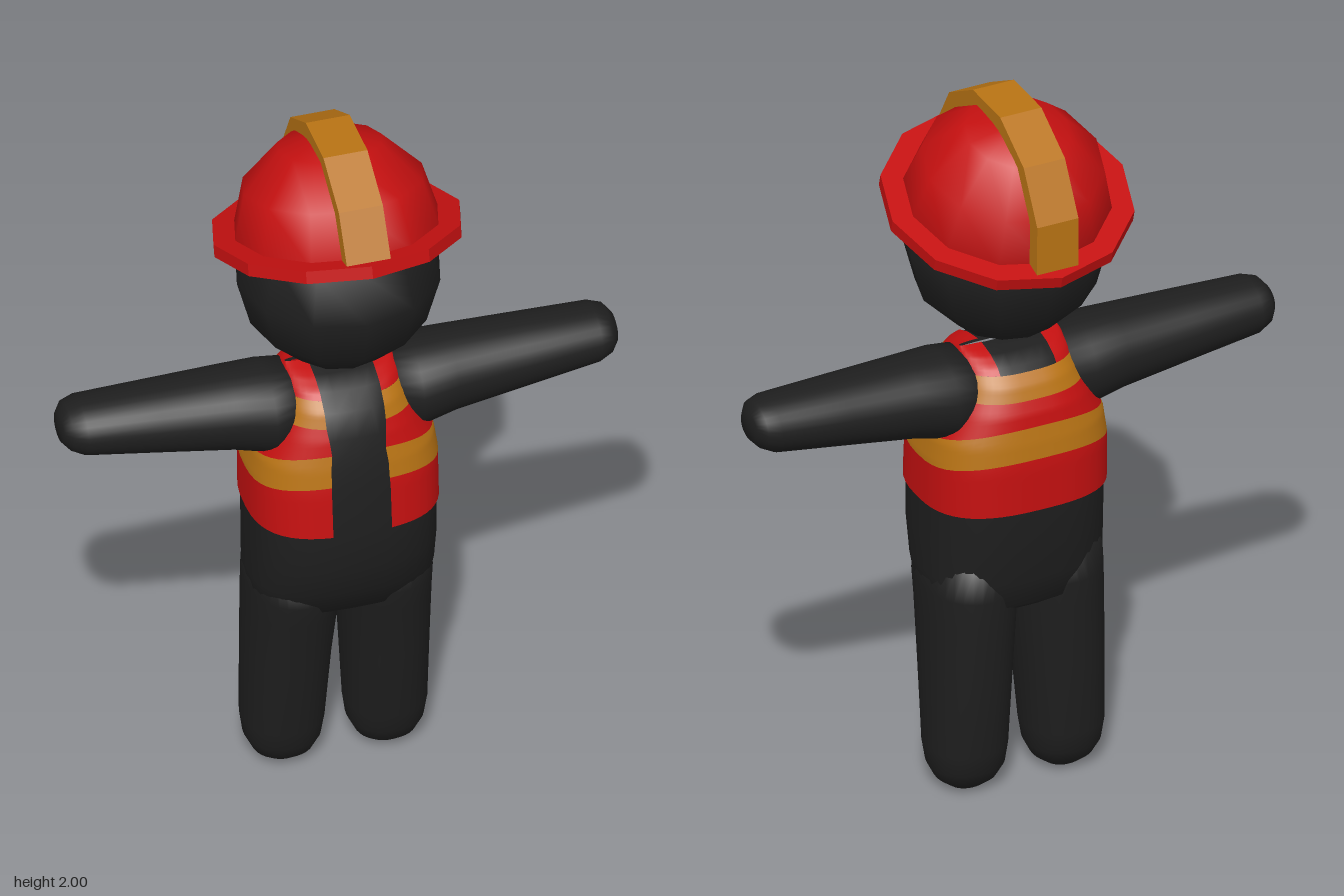
import * as THREE from 'three';
import { mergeVertices } from 'three/addons/utils/BufferGeometryUtils.js';

const material = (color, extra = {}) => new THREE.MeshStandardMaterial({ color, ...extra });
const black = material(0x1e1e1e);
const red = material(0xc41010, { side: THREE.DoubleSide });
const gold = material(0xb87314, { side: THREE.DoubleSide });
const redFlat = material(0xc41010, { flatShading: true });
const goldFlat = material(0xb87314, { flatShading: true });

function add(parent, name, geometry, mat) {
  const mesh = new THREE.Mesh(geometry, mat);
  mesh.name = name;
  parent.add(mesh);
  return mesh;
}

// Grid surface from point(u, v): v runs upward, u counter-clockwise seen from above
function grid(nu, nv, point) {
  const positions = [], index = [];
  for (let i = 0; i <= nv; i++) {
    for (let j = 0; j <= nu; j++) {
      positions.push(...point(j / nu, i / nv));
      if (i < nv && j < nu) {
        const a = i * (nu + 1) + j, b = a + nu + 1;
        index.push(a, a + 1, b + 1, a, b + 1, b);
      }
    }
  }
  let geometry = new THREE.BufferGeometry();
  geometry.setAttribute('position', new THREE.Float32BufferAttribute(positions, 3));
  geometry.setIndex(index);
  geometry = mergeVertices(geometry, 1e-5);
  geometry.computeVertexNormals();
  return geometry;
}

// Cross-section rows are [height, xMin, xMax, zBack, zFront]
function rowAt(rows, y) {
  let i = 0;
  while (i < rows.length - 2 && y > rows[i + 1][0]) i++;
  const t = THREE.MathUtils.clamp((y - rows[i][0]) / (rows[i + 1][0] - rows[i][0]), 0, 1);
  return rows[i].map((value, k) => THREE.MathUtils.lerp(value, rows[i + 1][k], t));
}

// Point on a rounded section; power below 1 makes it squarer
function ringPoint([y, x0, x1, z0, z1], angle, power, grow = 0) {
  const soft = (v) => Math.sign(v) * Math.abs(v) ** power;
  const s = soft(Math.sin(angle)), c = soft(Math.cos(angle));
  return [
    (x0 + x1) / 2 + ((x1 - x0) / 2 + grow) * s,
    y,
    (z0 + z1) / 2 + ((z1 - z0) / 2 + grow) * c,
  ];
}

function loft(rows, power = 1) {
  const last = rows.length - 1;
  return grid(32, last, (u, v) => ringPoint(rows[Math.round(v * last)], u * Math.PI * 2, power));
}

const POWER = 0.75;
const torsoRows = [
  [0.52, 0.0, -0.01, 0.0], [0.535, 0.2, -0.12, 0.1], [0.57, 0.245, -0.167, 0.155],
  [0.65, 0.25, -0.185, 0.195], [0.75, 0.25, -0.202, 0.23], [0.87, 0.25, -0.21, 0.233],
  [1.0, 0.25, -0.208, 0.22], [1.07, 0.24, -0.2, 0.208], [1.15, 0.2, -0.185, 0.19],
  [1.22, 0.165, -0.155, 0.163], [1.26, 0.15, -0.115, 0.12], [1.28, 0.14, -0.07, 0.065],
  [1.29, 0.135, -0.01, 0.0],
].map(([y, hx, zb, zf]) => [y, -hx, hx, zb, zf]);

// Vest band just outside the torso, open at the front, raised towards the middle
function vestBand(y0, y1, lift0, lift1, fromNeck = false, side = 1) {
  return grid(fromNeck ? 16 : 48, 8, (u, v) => {
    const base = THREE.MathUtils.lerp(y0, y1, v);
    const lift = THREE.MathUtils.lerp(lift0, lift1, v);
    const open = Math.asin((0.078 / rowAt(torsoRows, base)[2]) ** (1 / POWER));
    const end = fromNeck ? Math.PI - open : Math.PI * 2 - open;
    let angle = THREE.MathUtils.lerp(open, end, u);
    if (side < 0) angle += Math.PI;
    const y = base + lift * Math.abs(Math.cos(angle)) ** 1.5;
    const p = ringPoint(rowAt(torsoRows, y), angle, POWER, 0.006);
    p[1] += 0.005 * THREE.MathUtils.smoothstep(y, 1.2, 1.28);
    return p;
  });
}

function createVest() {
  const vest = new THREE.Group();
  vest.name = 'vest';
  add(vest, 'vestLower', vestBand(0.862, 0.99, 0.012, 0.035), red);
  add(vest, 'vestWaistStripe', vestBand(0.99, 1.07, 0.035, 0.045), gold);
  add(vest, 'vestChest', vestBand(1.07, 1.185, 0.045, 0), red);
  add(vest, 'vestChestStripe', vestBand(1.185, 1.245, 0, 0), gold);
  for (const side of [1, -1]) {
    add(vest, side > 0 ? 'leftStrap' : 'rightStrap', vestBand(1.245, 1.29, 0, 0, true, side), red);
  }
  return vest;
}

// One leg and one arm, shaped for the left side
function createLimbs(side) {
  const limbs = new THREE.Group();
  limbs.name = side > 0 ? 'leftLimbs' : 'rightLimbs';
  add(limbs, 'leg', loft([
    [0, 0.14, 0.14, -0.035, -0.035], [0.005, 0.09, 0.19, -0.085, 0.015],
    [0.03, 0.058, 0.222, -0.115, 0.045], [0.07, 0.038, 0.242, -0.138, 0.065],
    [0.13, 0.03, 0.25, -0.15, 0.08], [0.35, 0.018, 0.25, -0.165, 0.117],
    [0.53, 0.004, 0.25, -0.17, 0.148], [0.6, 0, 0.25, -0.173, 0.165],
    [0.7, 0, 0.245, -0.17, 0.165], [0.75, 0.1, 0.14, -0.05, 0.05],
  ], 0.9), black);
  // The arm is lofted upright, then laid out sideways
  const arm = loft([
    [0.11, -1.18, -1.18, 0, 0], [0.12, -1.283, -1.05, -0.125, 0.125],
    [0.2, -1.29, -1.045, -0.135, 0.135], [0.3, -1.29, -1.07, -0.125, 0.12],
    [0.5, -1.287, -1.1, -0.112, 0.102], [0.7, -1.283, -1.13, -0.1, 0.085],
    [0.735, -1.272, -1.148, -0.085, 0.07], [0.755, -1.248, -1.17, -0.055, 0.04],
    [0.76, -1.21, -1.21, -0.01, -0.01],
  ]);
  add(limbs, 'arm', arm.rotateZ(-Math.PI / 2), black);
  limbs.scale.x = side;
  return limbs;
}

function createHelmet() {
  const helmet = new THREE.Group();
  helmet.name = 'helmet';
  add(helmet, 'helmetDome', new THREE.SphereGeometry(0.28, 12, 3, 0, Math.PI * 2, 0, Math.PI / 2), red);
  add(helmet, 'helmetBrim', new THREE.CylinderGeometry(0.335, 0.335, 0.035, 12), redFlat);
  // Raised crest running front to back
  const arc = (radius) => Array.from({ length: 7 }, (_, i) =>
    new THREE.Vector2(Math.cos(i * Math.PI / 6), Math.sin(i * Math.PI / 6)).multiplyScalar(radius));
  const shape = new THREE.Shape([...arc(0.31), ...arc(0.265).reverse()]);
  const crest = new THREE.ExtrudeGeometry(shape, { depth: 0.12, bevelEnabled: false });
  add(helmet, 'helmetCrest', crest.translate(0, 0, -0.06).rotateY(-Math.PI / 2), goldFlat);
  helmet.position.set(0, 1.7, 0);
  helmet.rotation.x = -THREE.MathUtils.degToRad(15.5);
  return helmet;
}

export function createModel() {
  const model = new THREE.Group();
  model.name = 'firefighterFigure';
  add(model, 'torso', loft(torsoRows, POWER), black);
  model.add(createVest(), createLimbs(1), createLimbs(-1));
  add(model, 'head', new THREE.SphereGeometry(0.275, 12, 6), black).position.set(0, 1.585, 0.008);
  model.add(createHelmet());
  return model;
}
